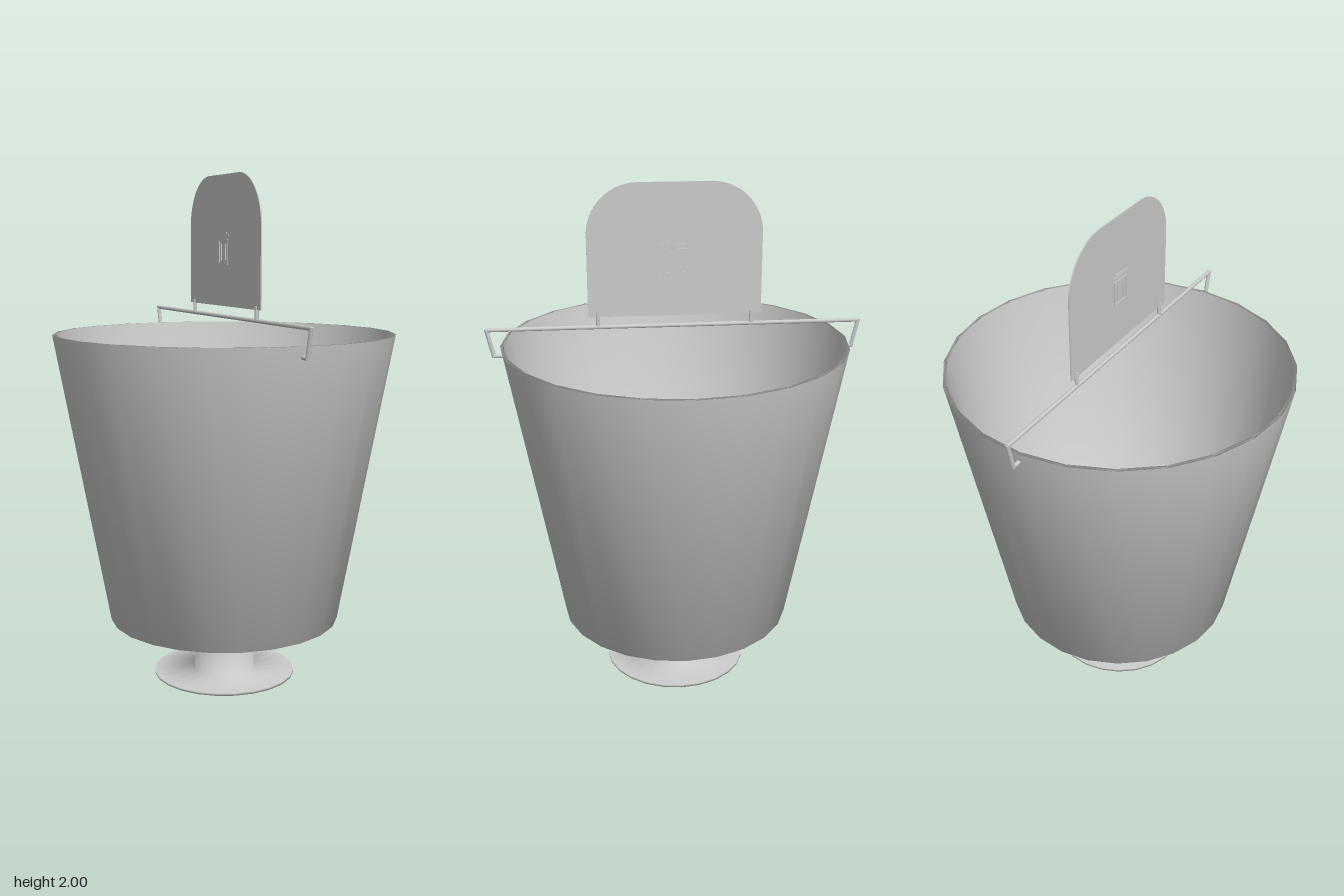
import * as THREE from 'three';

const grey = new THREE.MeshStandardMaterial({ color: 0xcccccc });
const greyDouble = new THREE.MeshStandardMaterial({ color: 0xcccccc, side: THREE.DoubleSide });

const add = (parent, name, geometry, material = grey) => {
  const mesh = new THREE.Mesh(geometry, material);
  mesh.name = name;
  parent.add(mesh);
  return mesh;
};

const lathe = (profile) =>
  new THREE.LatheGeometry(profile.map(([r, y]) => new THREE.Vector2(r, y)), 24);

// Wire following straight segments in the x = 0 plane, points given as [z, y]
const wire = (points, radius) => {
  const path = new THREE.CurvePath();
  const v = points.map(([z, y]) => new THREE.Vector3(0, y, z));
  for (let i = 1; i < v.length; i++) path.add(new THREE.LineCurve3(v[i - 1], v[i]));
  return path.curves.map((c) => {
    const g = new THREE.CylinderGeometry(radius, radius, c.getLength() + radius, 10);
    const dir = c.v2.clone().sub(c.v1).normalize();
    g.applyQuaternion(new THREE.Quaternion().setFromUnitVectors(new THREE.Vector3(0, 1, 0), dir));
    const mid = c.v1.clone().add(c.v2).multiplyScalar(0.5);
    return g.translate(mid.x, mid.y, mid.z);
  });
};

export function createModel() {
  const model = new THREE.Group();
  model.name = 'bucketOnStand';

  // Tapered bucket with a thin wall and a floor
  add(model, 'bucket', lathe([
    [0, 0.24], [0.46, 0.24], [0.67, 1.39], [0.655, 1.39], [0.447, 0.255], [0, 0.255],
  ]));

  // Hollow stem with a flat flange on the ground
  add(model, 'stand', lathe([
    [0.122, 0], [0.285, 0], [0.285, 0.01], [0.122, 0.01], [0.122, 0.24],
  ]), greyDouble);

  // Wire handle hooked into both sides of the rim
  const handle = new THREE.Group();
  handle.name = 'handle';
  model.add(handle);
  wire([
    [0.655, 1.352], [0.695, 1.352], [0.718, 1.455],
    [-0.718, 1.455], [-0.695, 1.352], [-0.655, 1.352],
  ], 0.008).forEach((g) => add(handle, 'handleWire', g));

  // Thin upright plate with rounded top corners
  const w = 0.332, bottom = 1.495, top = 2, r = 0.195;
  const outline = new THREE.Shape();
  outline.moveTo(-w, bottom);
  outline.lineTo(w, bottom);
  outline.lineTo(w, top - r);
  outline.absarc(w - r, top - r, r, 0, Math.PI / 2, false);
  outline.lineTo(-w + r, top);
  outline.absarc(-w + r, top - r, r, Math.PI / 2, Math.PI, false);
  outline.closePath();
  const thickness = 0.005;
  const plate = new THREE.ExtrudeGeometry(outline, {
    depth: thickness, bevelEnabled: false, curveSegments: 12,
  });
  plate.translate(0, 0, -thickness / 2).rotateY(Math.PI / 2);
  add(model, 'plate', plate);

  // Pegs joining the plate to the handle
  for (const s of [-1, 1]) {
    const peg = add(model, 'platePeg', new THREE.CylinderGeometry(0.008, 0.008, 0.055, 10));
    peg.position.set(0, 1.4825, s * 0.295);
  }

  // Small raised bin pictogram, standing out on both faces: [z, y, width, height]
  const relief = new THREE.Group();
  relief.name = 'binRelief';
  model.add(relief);
  const bars = [
    [0, 1.768, 0.108, 0.008],
    [0, 1.778, 0.064, 0.006],
    [0, 1.659, 0.086, 0.008],
    [0, 1.75, 0.086, 0.006],
  ];
  for (const s of [-1, 1]) {
    bars.push([s * 0.04, 1.704, 0.008, 0.094]);
    bars.push([s * 0.018, 1.704, 0.007, 0.066]);
  }
  for (const [z, y, width, height] of bars) {
    add(relief, 'reliefBar', new THREE.BoxGeometry(0.012, height, width)).position.set(0, y, z);
  }

  return model;
}
